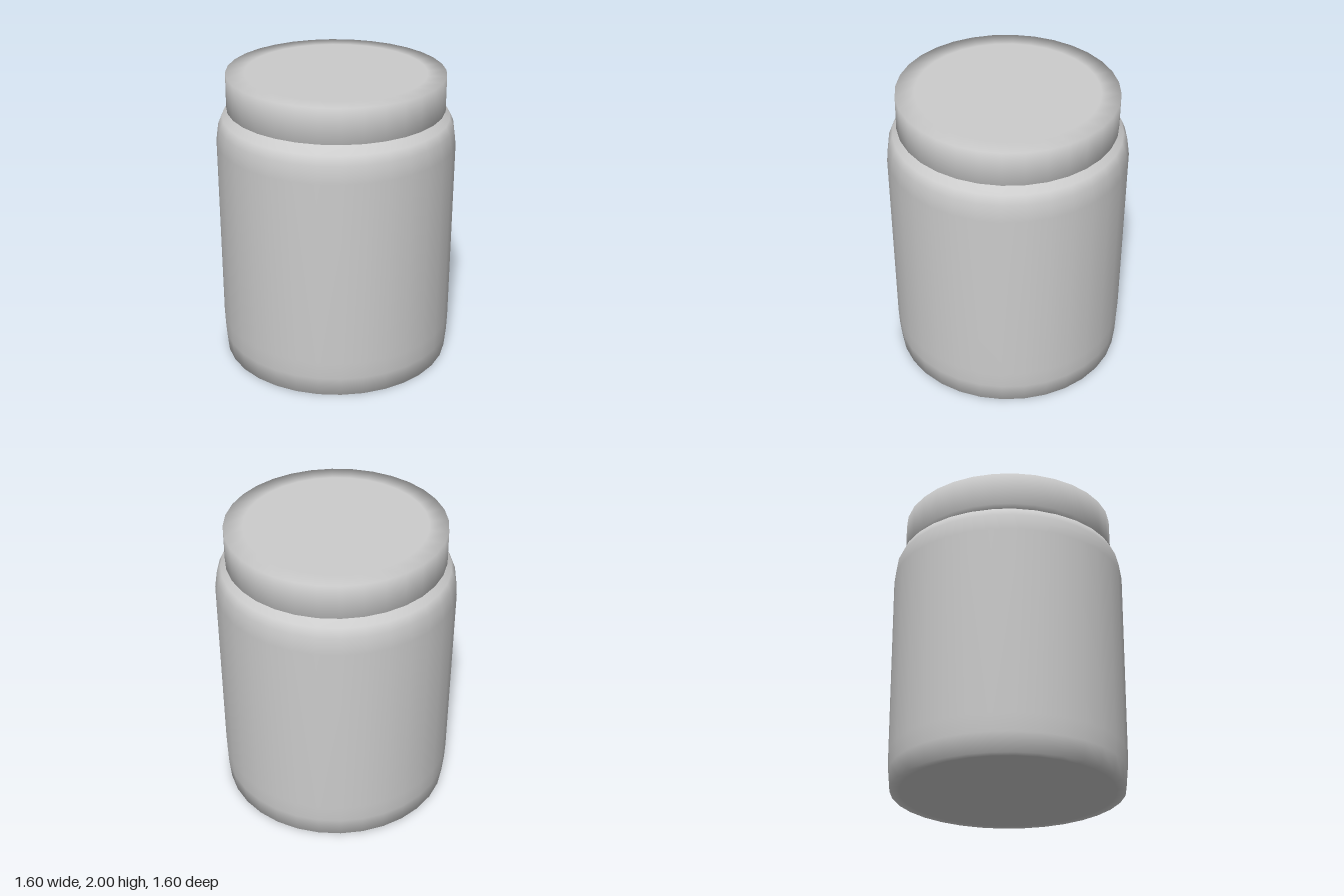
import * as THREE from 'three';

const SIDES = 32;

// Smooth turned part from [radius, height] pairs, listed bottom to top
function turned(name, profile, material) {
  const points = profile.map(([r, y]) => new THREE.Vector2(r, y));
  const mesh = new THREE.Mesh(new THREE.LatheGeometry(points, SIDES), material);
  mesh.name = name;
  return mesh;
}

export function createModel() {
  const group = new THREE.Group();
  group.name = 'jar';
  const material = new THREE.MeshStandardMaterial({ color: 0xcccccc });

  // Body: flat base, nearly straight wall, rounded shoulder and a neck hidden in the lid
  group.add(turned('jarBody', [
    [0, 0], [0.71, 0], [0.772, 0], [0.785, 0.13], [0.79, 0.25],
    [0.798, 1.53], [0.782, 1.645], [0.755, 1.705], [0.66, 1.765],
    [0.64, 1.79], [0.64, 1.9],
  ], material));

  // Lid: shallow disc with softly shaded rims, sitting slightly askew
  const lid = turned('lid', [
    [0, -0.118], [0.64, -0.118], [0.725, -0.118],
    [0.725, 0.118], [0.6, 0.118], [0, 0.118],
  ], material);
  lid.position.y = 1.877;
  lid.rotation.set(-0.007, 0, -0.006);
  group.add(lid);

  return group;
}
